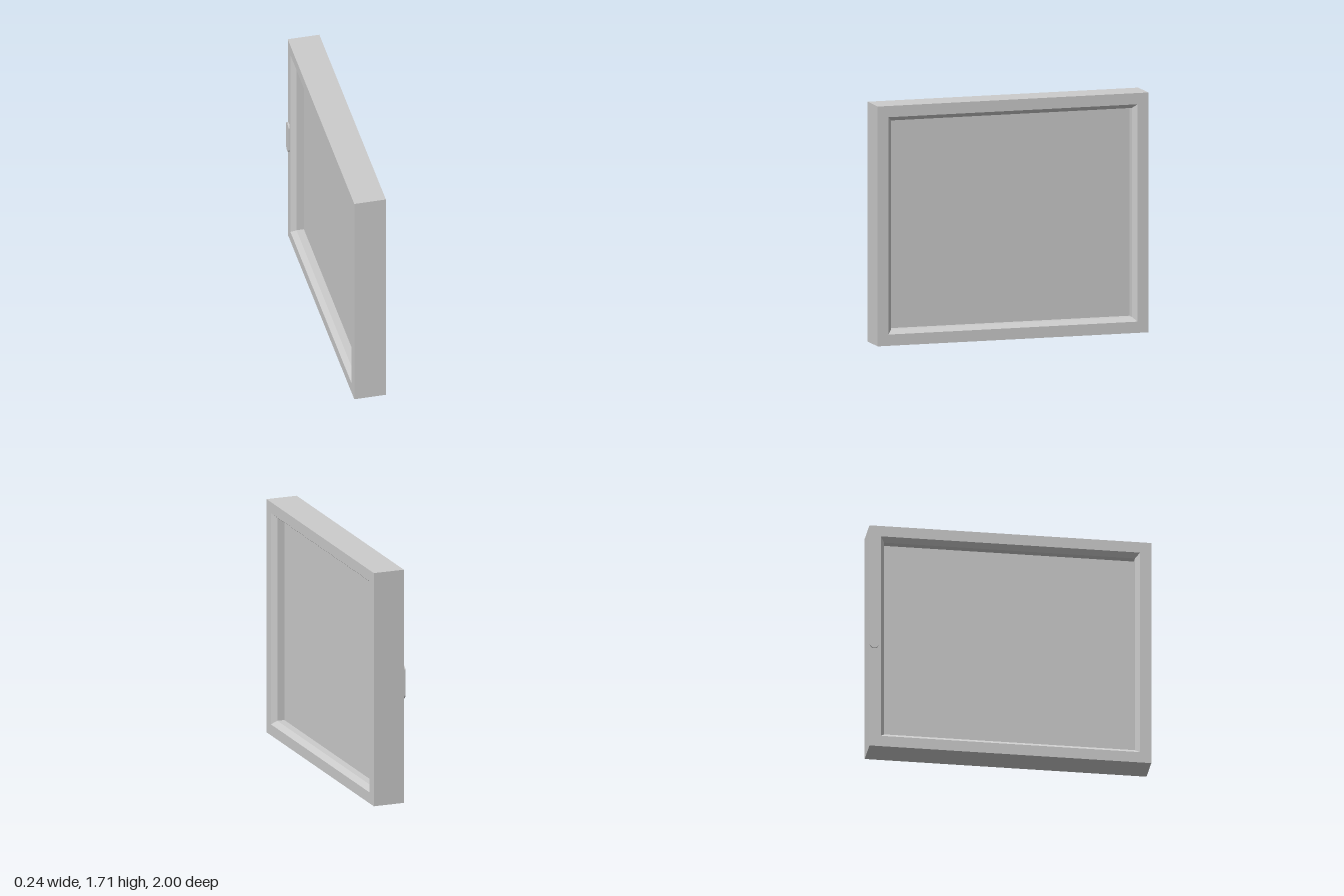
import * as THREE from 'three';

const HEIGHT = 1.705, CENTRE_X = 0.006, HALF_DEPTH = 0.114;
const CHAMFER_DEPTH = 0.037, RECESS = 0.09;

// Sweeps a closed profile of [inset, x] points around the rectangle in the zy plane.
function rectangularFrame(profile) {
  const corners = (inset, x) => {
    const z = 1 - inset, top = HEIGHT - inset;
    return [[x, inset, z], [x, inset, -z], [x, top, -z], [x, top, z]];
  };
  const pos = [];
  profile.forEach((p, i) => {
    const from = corners(...p);
    const to = corners(...profile[(i + 1) % profile.length]);
    for (let j = 0; j < 4; j++) {
      const k = (j + 1) % 4;
      pos.push(...from[j], ...from[k], ...to[k], ...from[j], ...to[k], ...to[j]);
    }
  });
  const geometry = new THREE.BufferGeometry();
  geometry.setAttribute('position', new THREE.Float32BufferAttribute(pos, 3));
  geometry.computeVertexNormals();
  return geometry;
}

// Upright pill outline, centred on the origin.
function pillShape(width, height) {
  const r = width / 2, c = height / 2 - r;
  const shape = new THREE.Shape();
  shape.absarc(0, c, r, 0, Math.PI, false);
  shape.absarc(0, -c, r, Math.PI, Math.PI * 2, false);
  shape.closePath();
  return shape;
}

export function createModel() {
  const group = new THREE.Group();
  const material = new THREE.MeshStandardMaterial({ color: 0xcccccc });
  const add = (name, geometry, x, y, z) => {
    const mesh = new THREE.Mesh(geometry, material);
    mesh.name = name;
    mesh.position.set(x, y, z);
    group.add(mesh);
    return mesh;
  };

  // Surround with a chamfered opening on both faces
  const d = HALF_DEPTH, c = HALF_DEPTH - CHAMFER_DEPTH;
  add('frame', rectangularFrame([
    [0, d], [0.08, d], [0.11, c], [0.11, -c], [0.08, -d], [0, -d],
  ]), CENTRE_X, 0, 0);

  // Recessed pane filling the opening
  add('pane', new THREE.BoxGeometry(2 * (HALF_DEPTH - RECESS), HEIGHT - 0.22, 1.78),
    CENTRE_X, HEIGHT / 2, 0);

  // Thin rounded pull plate on the -x face, at the back edge
  const plate = new THREE.ExtrudeGeometry(pillShape(0.064, 0.244),
    { depth: 0.014, bevelEnabled: false, curveSegments: 16 });
  add('pullPlate', plate, -0.106, 0.877, -0.967).rotation.y = -Math.PI / 2;

  return group;
}
